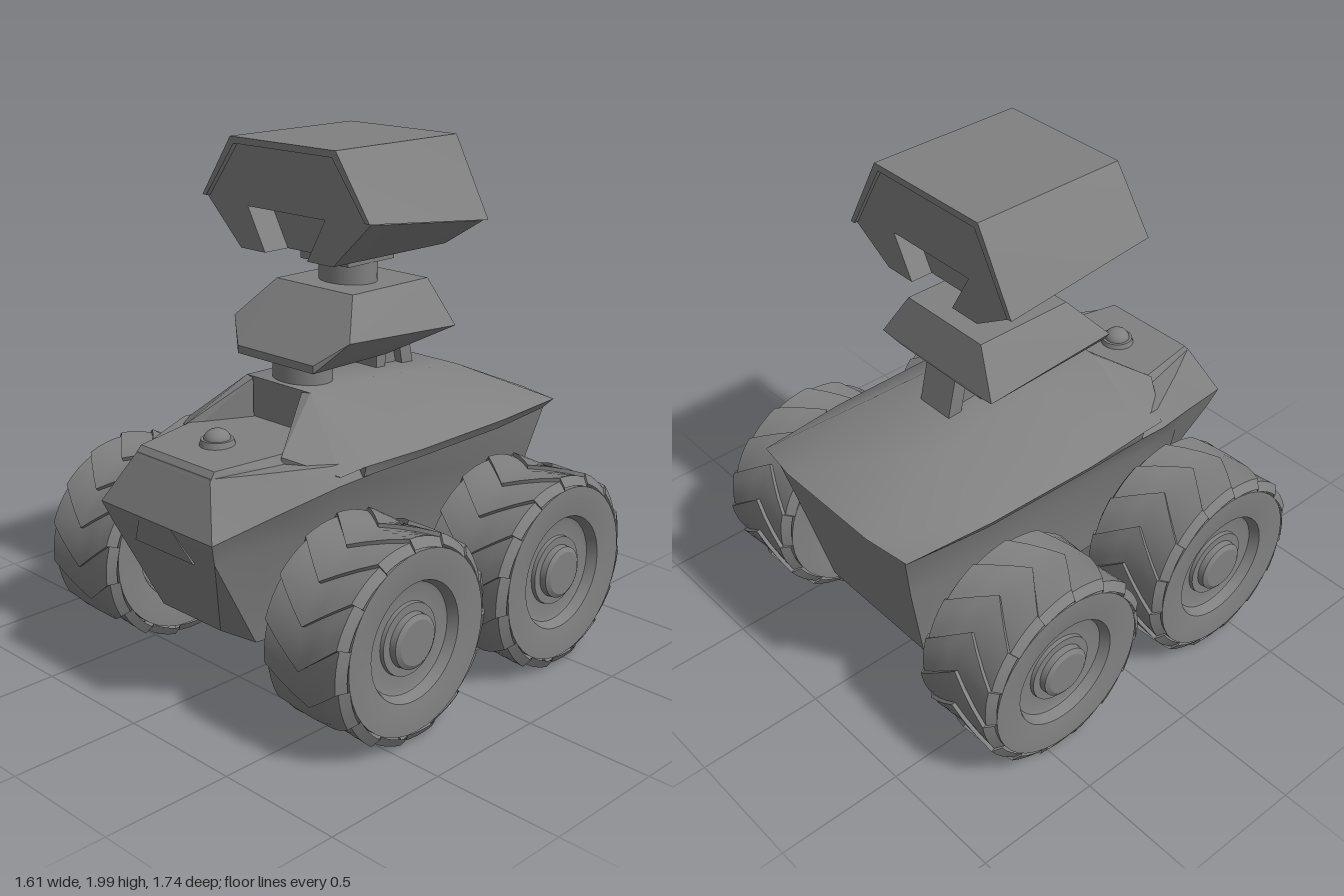
import * as THREE from 'three';
import { toCreasedNormals } from 'three/addons/utils/BufferGeometryUtils.js';
import { ConvexGeometry } from 'three/addons/geometries/ConvexGeometry.js';

const grey = new THREE.MeshStandardMaterial({ color: 0x808080, side: THREE.DoubleSide });
const V = (x, y, z) => new THREE.Vector3(x, y, z);

function add(parent, name, geometry, x = 0, y = 0, z = 0) {
  const mesh = new THREE.Mesh(geometry, grey);
  mesh.name = name;
  mesh.position.set(x, y, z);
  parent.add(mesh);
  return mesh;
}

function fromTriangles(points, crease) {
  const g = new THREE.BufferGeometry().setFromPoints(points);
  g.computeVertexNormals();
  return toCreasedNormals(g, crease);
}

// Mirrored loft: each station is the +x half of a loop, bottom to top, stations run front to back.
// Folded ends are closed row by row, flat ends are triangulated.
function loft(stations, crease, foldedEnds) {
  const loops = stations.map(s => {
    const half = s.map(p => V(...p));
    return half.concat(half.map(p => V(-p.x, p.y, p.z)).reverse());
  });
  const n = loops[0].length, tris = [];
  for (let k = 0; k + 1 < loops.length; k++) {
    const A = loops[k], B = loops[k + 1];
    for (let i = 0; i < n; i++) {
      const j = (i + 1) % n;
      tris.push(A[i], B[i], A[j], A[j], B[i], B[j]);
    }
  }
  const cap = (loop, sign) => {
    const flat = loop.map(p => new THREE.Vector2(p.x, p.y));
    const faces = foldedEnds ? [] : THREE.ShapeUtils.triangulateShape(flat, []);
    for (let i = 0; foldedEnds && i + 1 < n / 2; i++) {
      faces.push([i, i + 1, n - 1 - i], [i + 1, n - 2 - i, n - 1 - i]);
    }
    for (const [a, b, c] of faces) {
      const area = THREE.ShapeUtils.area([flat[a], flat[b], flat[c]]);
      tris.push(...(area * sign > 0 ? [a, b, c] : [a, c, b]).map(i => loop[i]));
    }
  };
  cap(loops[0], 1);
  cap(loops[loops.length - 1], -1);
  return fromTriangles(tris, crease);
}

// Convex solid from points, optionally mirrored in x
function solid(points, mirror = true) {
  const p = points.map(q => V(...q));
  return new ConvexGeometry(mirror ? p.concat(p.map(q => V(-q.x, q.y, q.z))) : p);
}

// Tread with shallow stepped chevron blocks and rounded shoulders
function treadGeometry() {
  const blocks = 15, steps = 4, pitch = Math.PI * 2 / blocks;
  const columns = [-0.193, -0.17, -0.113, -0.057, 0, 0.057, 0.113, 0.17, 0.193].map(h => {
    const shoulder = Math.abs(h) > 0.18;
    const ring = [];
    for (let k = 0; k < blocks; k++) {
      for (let s = 0; s <= steps; s++) {
        const a = (k + s / steps) * pitch - Math.min(Math.abs(h) / 0.17, 1) * 0.35;
        const R = (shoulder ? 0.337 : 0.369) + (shoulder ? 0.012 : 0.015) * s / steps;
        ring.push(V(h, R * Math.cos(a), R * Math.sin(a)));
      }
    }
    return ring;
  });
  const tris = [];
  for (let c = 0; c + 1 < columns.length; c++) {
    const A = columns[c], B = columns[c + 1], n = A.length;
    for (let i = 0; i < n; i++) {
      const j = (i + 1) % n;
      tris.push(A[i], A[j], B[i], B[i], A[j], B[j]);
    }
  }
  return fromTriangles(tris, 0.5);
}

// Sidewall, rim and hub, the same on both faces
function rimGeometry() {
  const half = [[0.338, 0.193], [0.29, 0.193], [0.222, 0.183], [0.205, 0.145], [0.19, 0.14],
    [0.135, 0.14], [0.133, 0.155], [0.102, 0.155], [0.1, 0.18], [0.083, 0.19], [0.0001, 0.19]];
  const profile = half.map(([r, h]) => [r, -h]).reverse().concat(half);
  const g = new THREE.LatheGeometry(profile.map(p => new THREE.Vector2(...p)), 40);
  return toCreasedNormals(g.rotateZ(-Math.PI / 2), 0.4);
}

export function createModel() {
  const model = new THREE.Group();
  model.name = 'rover';

  // Wheels and axles
  const tread = treadGeometry(), rim = rimGeometry();
  for (const [end, z] of [['front', 0.39], ['rear', -0.435]]) {
    for (const [side, x] of [['Left', 0.612], ['Right', -0.612]]) {
      const wheel = new THREE.Group();
      wheel.name = end + side + 'Wheel';
      wheel.position.set(x, 0.397, z);
      add(wheel, 'tread', tread);
      add(wheel, 'rim', rim);
      model.add(wheel);
    }
    add(model, end + 'Axle', new THREE.CylinderGeometry(0.083, 0.083, 0.96, 28).rotateZ(Math.PI / 2), 0, 0.397, z);
  }

  // Lower hull with a narrow raised chin
  add(model, 'hull', loft([
    [[0.16, 0.335, 0.72], [0.28, 0.66, 0.842], [0.305, 0.745, 0.873], [0.2, 0.935, 0.785]],
    [[0.235, 0.28, 0.62], [0.31, 0.67, 0.62], [0.375, 0.812, 0.62], [0.29, 0.935, 0.62]],
    [[0.28, 0.28, 0.40], [0.33, 0.68, 0.40], [0.44, 0.87, 0.40], [0.4, 0.935, 0.40]],
    [[0.28, 0.28, -0.68], [0.34, 0.66, -0.77], [0.385, 0.875, -0.82], [0.36, 0.9, -0.825]],
  ], 0.6, true));
  add(model, 'nosePanel', solid([[0.085, 0.745, 0.874], [0.16, 0.625, 0.837], [0.085, 0.745, 0.84], [0.16, 0.625, 0.80]]));

  // Domed upper shell with an overhanging brim
  add(model, 'upperShell', loft([
    [[0.44, 0.875, 0.28], [0.45, 0.915, 0.28], [0.17, 1.125, 0.28]],
    [[0.44, 0.875, 0], [0.465, 0.915, 0], [0.17, 1.122, 0]],
    [[0.43, 0.875, -0.48], [0.455, 0.915, -0.48], [0.21, 1.09, -0.48]],
    [[0.39, 0.875, -0.81], [0.42, 0.912, -0.84], [0.235, 0.92, -0.87]],
  ], 0.8, true));

  // Arms beside the front deck
  for (const s of [1, -1]) {
    const arm = [[0.13, 1.12, 0.285], [0.17, 1.125, 0.28], [0.45, 0.915, 0.28], [0.435, 0.9, 0.39],
      [0.26, 0.96, 0.51], [0.25, 0.92, 0.51], [0.13, 0.92, 0.285]];
    add(model, s > 0 ? 'leftDeckArm' : 'rightDeckArm', solid(arm.map(([x, y, z]) => [x * s, y, z]), false));
  }

  // Front deck and knob
  add(model, 'frontDeck', solid([[0.2, 0.957, 0.765], [0.205, 0.925, 0.79], [0.25, 0.967, 0.5],
    [0.27, 0.93, 0.5], [0.14, 0.97, 0.28], [0.14, 0.93, 0.28]]));
  add(model, 'knobBase', new THREE.CylinderGeometry(0.06, 0.068, 0.03, 28), 0, 0.97, 0.578);
  add(model, 'knob', new THREE.SphereGeometry(0.05, 24, 12).scale(1, 0.8, 1), 0, 0.982, 0.578);

  // Necks
  const neck = (rx, rz, h) => new THREE.CylinderGeometry(1, 1, h, 32).scale(rx, 1, rz);
  add(model, 'lowerNeck', neck(0.125, 0.1, 0.14), 0, 1.15, 0.155);
  add(model, 'upperNeck', neck(0.122, 0.1, 0.14), 0, 1.49, -0.085);
  add(model, 'neckPlate', new THREE.BoxGeometry(0.25, 0.05, 0.245), 0, 1.565, -0.08);

  // Rear bracket: front post, slanted back plate and a thin web
  const bracket = new THREE.Group();
  bracket.name = 'rearBracket';
  const plate = (w, zy) => solid(zy.map(([z, y]) => [w, y, z]));
  add(bracket, 'post', plate(0.08, [[-0.16, 1.24], [-0.21, 1.26], [-0.21, 1.08], [-0.16, 1.08]]));
  add(bracket, 'backPlate', plate(0.08, [[-0.27, 1.27], [-0.325, 1.28], [-0.37, 1.08], [-0.31, 1.08]]));
  add(bracket, 'web', plate(0.045, [[-0.2, 1.25], [-0.28, 1.27], [-0.32, 1.08], [-0.2, 1.08]]));
  model.add(bracket);

  // Faceted block between the necks
  add(model, 'middleBlock', solid([[0.2, 1.46, 0.095], [0.2, 1.46, -0.31], [0.305, 1.32, 0.217],
    [0.305, 1.285, -0.355], [0.2, 1.235, 0.296], [0.2, 1.205, 0.296], [0.2, 1.205, -0.085], [0.2, 1.275, -0.355]]));

  // Head: core notched at both ends, under a folded roof shell
  const head = new THREE.Group();
  head.name = 'head';
  const section = (z, notched) => [
    ...(notched ? [[0.2, 1.75, z], [0.11, 1.59, z]] : []),
    [0.24, 1.59, z], [0.42, 1.737 + z * 0.103, z], [0.25, 1.975, z]];
  add(head, 'coreFront', loft([section(0.235, true), section(0.12, true)], 0.3));
  add(head, 'coreMiddle', loft([section(0.12, false), section(-0.27, false)], 0.3));
  add(head, 'coreBack', loft([section(-0.27, true), section(-0.36, true)], 0.3));
  const roof = (z, y) => [[0.252, 1.975, z], [0.41, y, z], [0.432, y, z], [0.27, 2, z]];
  add(head, 'roofShell', loft([roof(0.254, 1.768), roof(-0.376, 1.702)], 0.3));
  model.add(head);

  return model;
}
